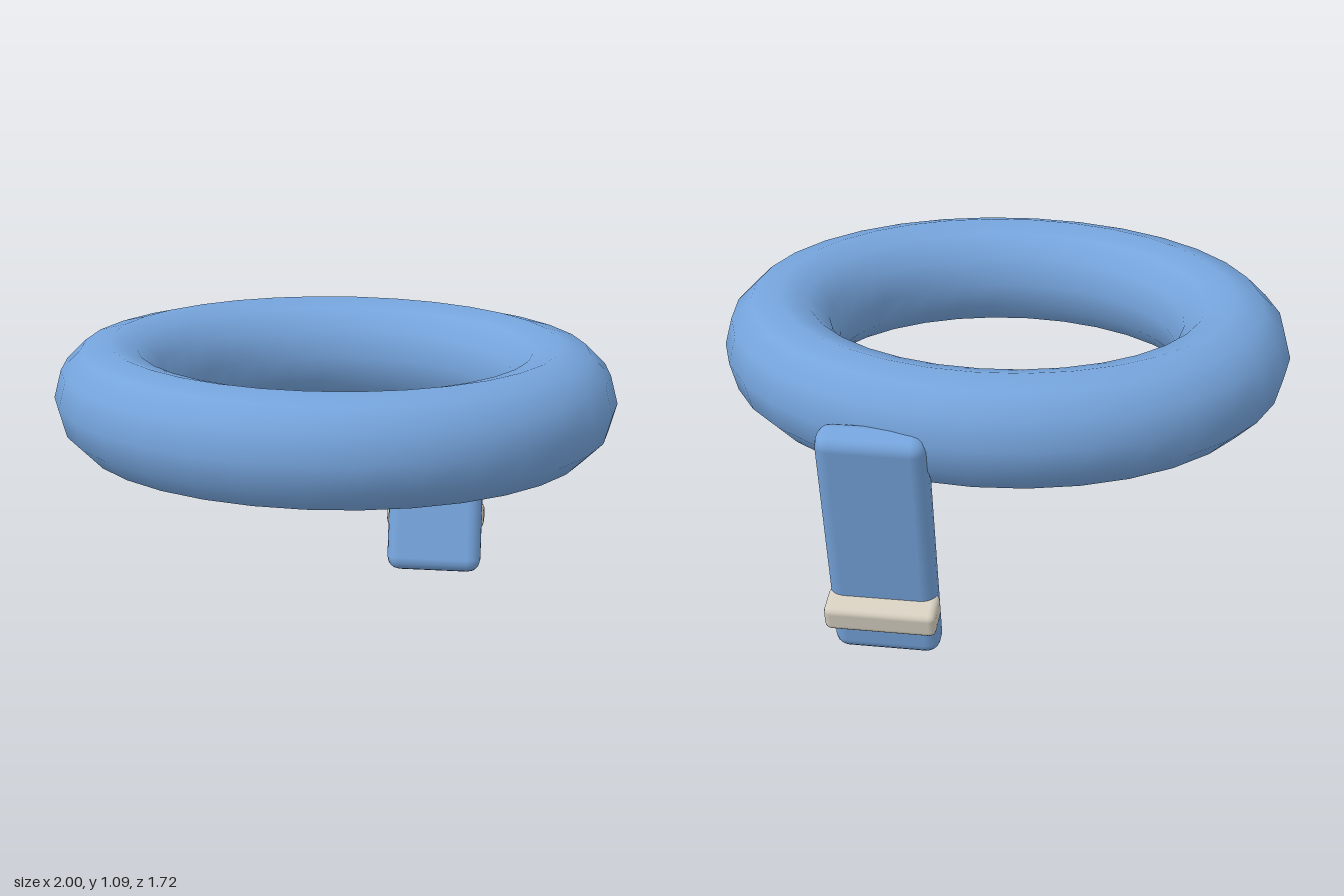
import * as THREE from 'three';
import { RoundedBoxGeometry } from 'three/addons/geometries/RoundedBoxGeometry.js';

export function createModel() {
  const blue = new THREE.MeshStandardMaterial({ color: 0x75a4dc });
  blue.name = 'blue fabric';
  const ivory = new THREE.MeshStandardMaterial({ color: 0xd6cfc0 });
  ivory.name = 'ivory plastic';

  const model = new THREE.Group();
  model.name = 'collarWithStrap';

  const TILT = -0.212; // strap leans back towards its top

  function add(name, geometry, material, x, y, z, tilt = 0) {
    const mesh = new THREE.Mesh(geometry, material);
    mesh.name = name;
    mesh.position.set(x, y, z);
    mesh.rotation.x = tilt;
    model.add(mesh);
  }

  // Padded ring, slightly oval from front to back
  const ring = new THREE.TorusGeometry(0.8, 0.2, 12, 32);
  ring.rotateX(Math.PI / 2);
  ring.scale(1, 1, 0.85);
  add('ring', ring, blue, 0, 0.9, 0.012);

  // Hanging strap behind the ring
  add('strap', new RoundedBoxGeometry(0.37, 0.945, 0.124, 2, 0.05), blue, 0.32, 0.47, -0.71, TILT);

  // Buckle across the back of the strap
  add('buckle', new RoundedBoxGeometry(0.385, 0.098, 0.132, 2, 0.025), ivory, 0.318, 0.205, -0.727, TILT);

  return model;
}
